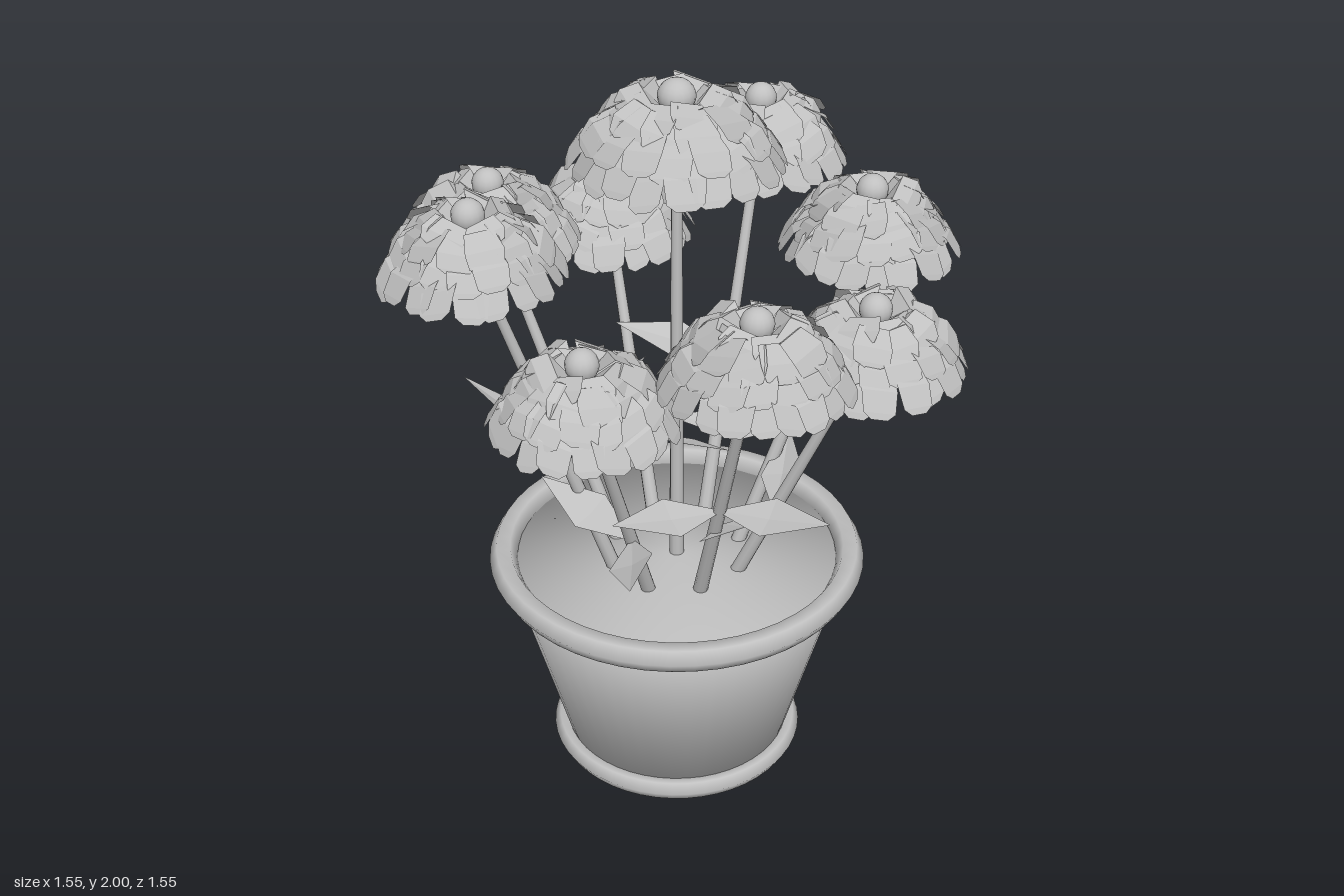
import * as THREE from 'three';
import { mergeGeometries } from 'three/addons/utils/BufferGeometryUtils.js';

const clayGrey = new THREE.MeshStandardMaterial({ color: 0xc0c0c0, side: THREE.DoubleSide });
clayGrey.name = 'clayGrey';

let seed = 7;
const jitter = (a) => {
  seed = (seed * 16807) % 2147483647;
  return (seed / 2147483647 - 0.5) * 2 * a;
};

function part(geometry, name) {
  const mesh = new THREE.Mesh(geometry, clayGrey);
  mesh.name = name;
  return mesh;
}

// Faceted strip from rows of points running across it
function facetedStrip(rows) {
  const pos = [];
  for (let r = 0; r < rows.length - 1; r++) {
    for (let c = 0; c < rows[r].length - 1; c++) {
      const a = rows[r][c], b = rows[r][c + 1], d = rows[r + 1][c], e = rows[r + 1][c + 1];
      pos.push(...a, ...d, ...b, ...b, ...d, ...e);
    }
  }
  const g = new THREE.BufferGeometry();
  g.setAttribute('position', new THREE.Float32BufferAttribute(pos, 3));
  g.computeVertexNormals();
  return g;
}

// One petal along +x: rises from the centre, arches over and droops to a blunt tip.
// The roll lifts one edge above its neighbour.
function petal(baseY, peakY, r, tipY, width, roll) {
  const section = (x, y, w) => [[x, y + roll * w / 2, w / 2], [x, y - roll * w / 2, -w / 2]];
  const drop = tipY - peakY;
  return facetedStrip([
    section(0.035, baseY, width * 0.2),
    section(r * 0.55, peakY, width * 0.75),
    section(r * 0.85, peakY + drop * 0.4, width),
    section(r * 0.97, peakY + drop * 0.85, width * 0.9),
    section(r, tipY, width * 0.45),
  ]);
}

// Tiers of petals: [count, base y, peak y, tip radius, tip y], y below the head top
const tiers = [
  [8, -0.065, -0.03, 0.125, -0.08],
  [12, -0.08, -0.045, 0.168, -0.112],
  [16, -0.11, -0.075, 0.203, -0.155],
  [20, -0.15, -0.11, 0.235, -0.212],
];

function flowerHead(scale) {
  const head = new THREE.Group();
  head.name = 'flowerHead';
  const petals = [];
  tiers.forEach(([n, baseY, peakY, r, tipY], k) => {
    for (let i = 0; i < n; i++) {
      const width = (2 * Math.PI * r / n) * (1.12 + jitter(0.12));
      const lift = jitter(0.008);
      const g = petal(baseY, peakY + lift, r + jitter(0.008), tipY + lift, width, jitter(0.35));
      g.rotateY(((i + k * 0.5) / n) * Math.PI * 2 + jitter(0.06));
      petals.push(g);
    }
  });
  head.add(part(mergeGeometries(petals), 'petals'));
  const ball = part(new THREE.SphereGeometry(0.042, 16, 12), 'flowerCentre');
  ball.position.y = -0.042;
  head.add(ball);
  head.scale.set(scale, 1 + (scale - 1) * 0.4, scale);
  return head;
}

function stem(from, to) {
  const dir = to.clone().sub(from);
  const mesh = part(new THREE.CylinderGeometry(0.013, 0.02, dir.length(), 10), 'stem');
  mesh.position.copy(from).addScaledVector(dir, 0.5);
  mesh.quaternion.setFromUnitVectors(new THREE.Vector3(0, 1, 0), dir.normalize());
  return mesh;
}

// Pointed leaf, lightly folded along its midrib and rolled to one side
function leaf(at, degrees, roll) {
  const row = (x, y, w, lift) => [[x, y + lift, w], [x, y, 0], [x, y + lift, -w]];
  const g = facetedStrip([
    row(0, 0, 0.004, 0),
    row(0.14, 0.022, 0.06, 0.01),
    row(0.31, 0.07, 0.001, 0),
  ]);
  g.rotateX(roll);
  const mesh = part(g, 'leaf');
  mesh.position.copy(at);
  mesh.rotation.y = -THREE.MathUtils.degToRad(degrees);
  return mesh;
}

// Six-sided rolled ring
function ring(radius, tube, y, name) {
  const mesh = part(new THREE.TorusGeometry(radius, tube, 6, 48), name);
  mesh.rotation.x = Math.PI / 2;
  mesh.position.y = y;
  return mesh;
}

function pot() {
  const g = new THREE.Group();
  g.name = 'pot';
  // Solid tapered body, smooth across its top and bottom
  const profile = [[0, 0.027], [0.302, 0.027], [0.465, 0.6], [0, 0.6]].map(([x, y]) => new THREE.Vector2(x, y));
  g.add(part(new THREE.LatheGeometry(profile, 48), 'potBody'));
  g.add(ring(0.472, 0.038, 0.603, 'potRim'), ring(0.316, 0.031, 0.027, 'potFoot'));
  return g;
}

// Two leaf directions for each outer stem
const leafAngles = [[100, -100], [-75, 150], [45, 170], [-135, 20], [70, -70], [188, 35], [60, 200], [0, 130]];

export function createModel() {
  const model = new THREE.Group();
  model.name = 'pottedFlowers';
  model.add(pot());

  // Tall middle flower
  const middle = flowerHead(1.15);
  middle.position.y = 2;
  model.add(middle, stem(new THREE.Vector3(0, 0.58, 0), new THREE.Vector3(0, 1.93, 0)));

  // Ring of eight flowers at three repeating heights
  leafAngles.forEach((angles, i) => {
    const a = (i / 8) * Math.PI * 2, level = i % 3;
    const top = 1.53 + level * 0.12;
    const around = (r, y) => new THREE.Vector3(r * Math.cos(a), y, -r * Math.sin(a));
    const from = around(0.175, 0.58), to = around(0.537, top - 0.14);
    const flower = new THREE.Group();
    flower.name = 'flower';
    const head = flowerHead(1);
    head.position.copy(around(0.537, top));
    flower.add(head, stem(from, to));
    const y = 0.82 + level * 0.115;
    const joint = from.clone().lerp(to, (y - from.y) / (to.y - from.y));
    angles.forEach((d, k) => flower.add(leaf(joint, d, k ? -0.4 : 0.4)));
    model.add(flower);
  });
  return model;
}
